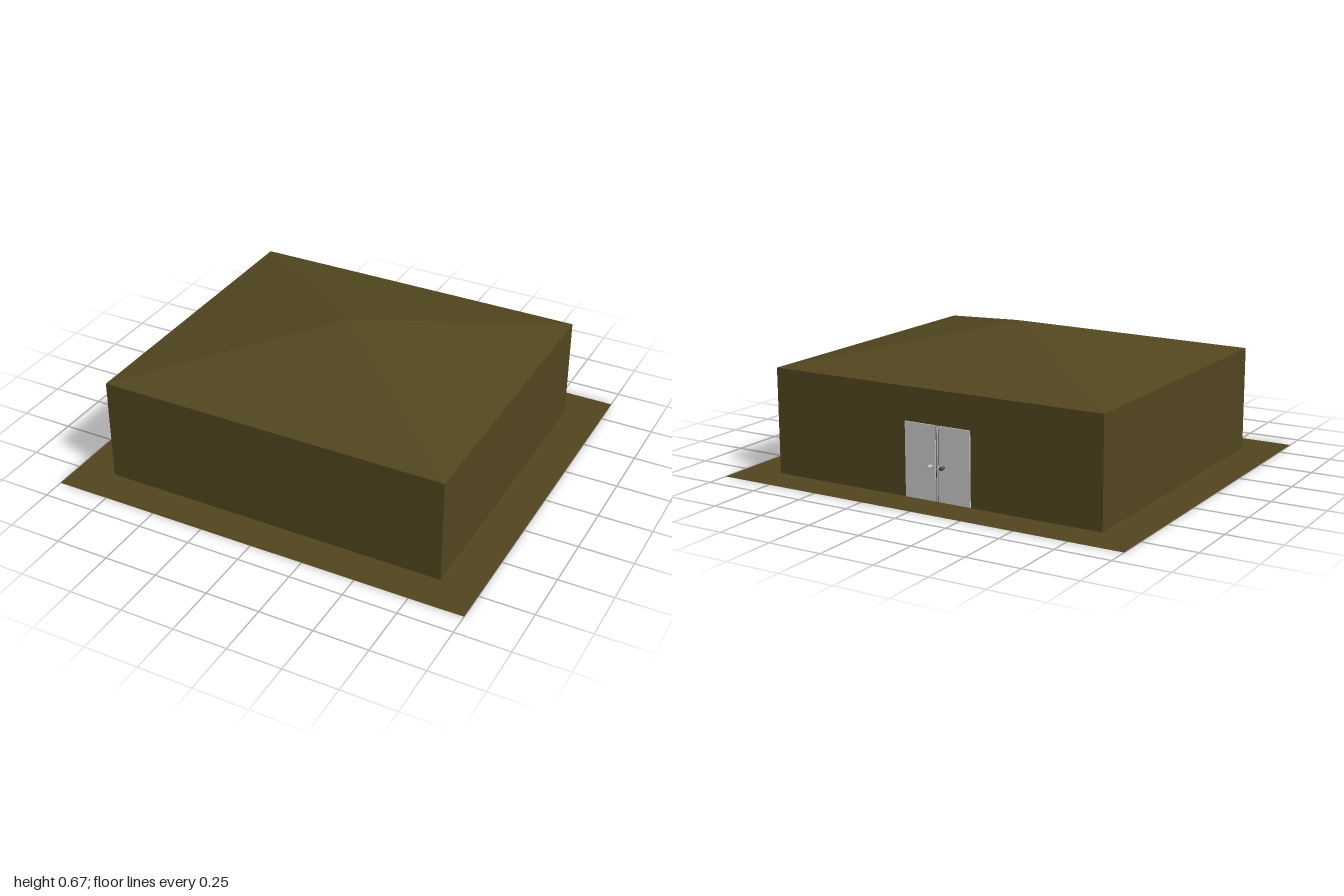
import * as THREE from 'three';

const HALF_X = 0.82, HALF_Z = 0.727, EAVES = 0.49, PEAK = 0.665;

const olive = new THREE.MeshStandardMaterial({ color: 0x52461f, flatShading: true, side: THREE.DoubleSide });
const grey = new THREE.MeshStandardMaterial({ color: 0xcccccc });
const dark = new THREE.MeshStandardMaterial({ color: 0x444444 });

function addMesh(parent, name, geometry, material, x = 0, y = 0, z = 0) {
  const mesh = new THREE.Mesh(geometry, material);
  mesh.name = name;
  mesh.position.set(x, y, z);
  parent.add(mesh);
  return mesh;
}

// Four-sided open shell with a rectangular footprint; topScale 0 makes a pyramid
function fourSided(topScale, height) {
  return new THREE.CylinderGeometry(Math.SQRT2 * topScale, Math.SQRT2, height, 4, 1, true)
    .rotateY(Math.PI / 4)
    .scale(HALF_X, 1, HALF_Z)
    .translate(0, height / 2, 0);
}

// Door knob seen side-on: plate, thin stem and rounded grip, turned to point backwards
function knobGeometry() {
  const profile = [[0, 0], [0.008, 0], [0.008, 0.003], [0.004, 0.004], [0.004, 0.01],
    [0.008, 0.014], [0.009, 0.018], [0.007, 0.022], [0, 0.024]]
    .map(([r, h]) => new THREE.Vector2(r, h));
  return new THREE.LatheGeometry(profile, 16).rotateX(-Math.PI / 2);
}

export function createModel() {
  const group = new THREE.Group();
  group.name = 'house';

  // Flat plot of ground
  addMesh(group, 'groundPlot', new THREE.PlaneGeometry(2, 1.79).rotateX(-Math.PI / 2), olive);

  // Walls and low pyramid roof
  addMesh(group, 'walls', fourSided(1, EAVES), olive);
  addMesh(group, 'roof', fourSided(0, PEAK - EAVES), olive, 0, EAVES);

  // Double door on the back wall, one knob beside the centre gap on each leaf
  const doors = new THREE.Group();
  doors.name = 'doubleDoor';
  doors.position.set(-0.034, 0, -HALF_Z);
  group.add(doors);
  addMesh(doors, 'doorGap', new THREE.BoxGeometry(0.02, 0.335, 0.002), dark, 0, 0.17, -0.001);
  for (const side of [-1, 1]) {
    const name = side < 0 ? 'right' : 'left';
    addMesh(doors, name + 'Door', new THREE.BoxGeometry(0.155, 0.335, 0.006), grey, side * 0.0855, 0.17, -0.003);
    addMesh(doors, name + 'Knob', knobGeometry(), side < 0 ? dark : grey, side * 0.031, 0.157, -0.006);
  }
  // Slim strip in the centre gap
  addMesh(doors, 'centreStrip', new THREE.BoxGeometry(0.006, 0.335, 0.005), grey, 0, 0.17, -0.0025);

  return group;
}
